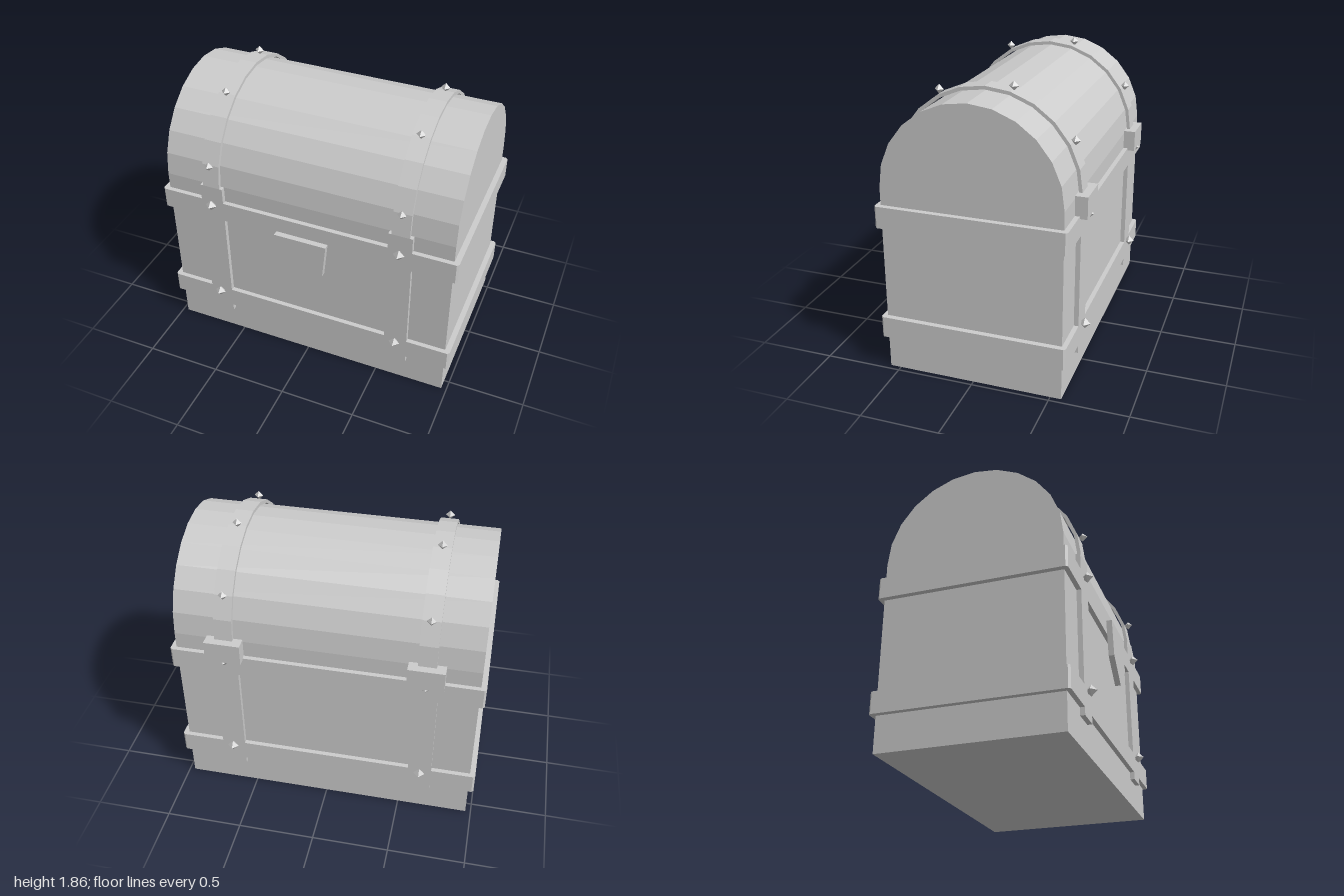
import * as THREE from 'three';

const grey = new THREE.MeshStandardMaterial({ color: 0xcccccc });
grey.name = 'plain grey';

const SPRING = 1.23; // height where the rounded lid begins
const SEGMENTS = 12;

// Points of the lid's half circle, from one side to the other
function arc(radius) {
  return Array.from({ length: SEGMENTS + 1 }, (_, i) => {
    const a = (i / SEGMENTS) * Math.PI;
    return new THREE.Vector2(Math.cos(a) * radius, SPRING + Math.sin(a) * radius);
  });
}

// Extrudes an outline by depth, centred on its own axis
function slab(points, depth) {
  const shape = new THREE.Shape(points);
  return new THREE.ExtrudeGeometry(shape, { depth, bevelEnabled: false, steps: 1 })
    .translate(0, 0, -depth / 2);
}

export function createModel() {
  const chest = new THREE.Group();
  chest.name = 'chest';

  function add(name, geometry, x = 0, y = 0, z = 0) {
    const mesh = new THREE.Mesh(geometry, grey);
    mesh.name = name;
    mesh.position.set(x, y, z);
    chest.add(mesh);
    return mesh;
  }

  // Box and rounded lid share one end outline
  const outline = [new THREE.Vector2(-0.57, 0), new THREE.Vector2(0.57, 0), ...arc(0.57)];
  add('body', slab(outline, 1.93).rotateY(Math.PI / 2));

  // Horizontal bands with chamfered corners
  const w = 1, d = 0.6, c = 0.013;
  const footprint = [
    [w - c, -d], [w, -d + c], [w, d - c], [w - c, d],
    [-w + c, d], [-w, d - c], [-w, -d + c], [-w + c, -d],
  ].map(([x, y]) => new THREE.Vector2(x, y));
  const bandGeometry = slab(footprint, 0.14).rotateX(-Math.PI / 2);
  add('lowerBand', bandGeometry, 0, 0.3, 0);
  add('upperBand', bandGeometry, 0, 1.05, 0);

  const archGeometry = slab([...arc(0.6), ...arc(0.578).reverse()], 0.115).rotateY(Math.PI / 2);
  const bigStud = new THREE.OctahedronGeometry(0.037);
  const smallStud = new THREE.OctahedronGeometry(0.03);

  for (const x of [-0.635, 0.635]) {
    // Strap over the lid
    add('lidStrap', archGeometry, x);
    for (const [y, z] of [[1.39, 0.6], [1.77, 0.31], [1.83, -0.16], [1.54, -0.535]]) {
      add('lidStud', smallStud, x, y, z);
    }

    // Upright straps on front and back, filling the spaces between the bands
    for (const side of [1, -1]) {
      for (const [low, high] of [[0.18, 0.23], [0.37, 0.98], [1.12, SPRING]]) {
        add('uprightStrap', new THREE.BoxGeometry(0.154, high - low, 0.04),
          x, (low + high) / 2, side * 0.58);
      }
      for (const y of [0.355, 1.1]) add('strapStud', bigStud, x, y, side * 0.62);
    }

    // Hinge block at the back
    add('hinge', new THREE.BoxGeometry(0.23, 0.14, 0.078), x, 1.175, -0.608);
  }

  // Shield-shaped lock plate
  const plate = [[0, 0.64], [0.15, 0.79], [0.175, 1.03], [-0.175, 1.03], [-0.15, 0.79]]
    .map(([x, y]) => new THREE.Vector2(x, y));
  add('lockPlate', slab(plate, 0.037), 0, 0, 0.638);

  return chest;
}
